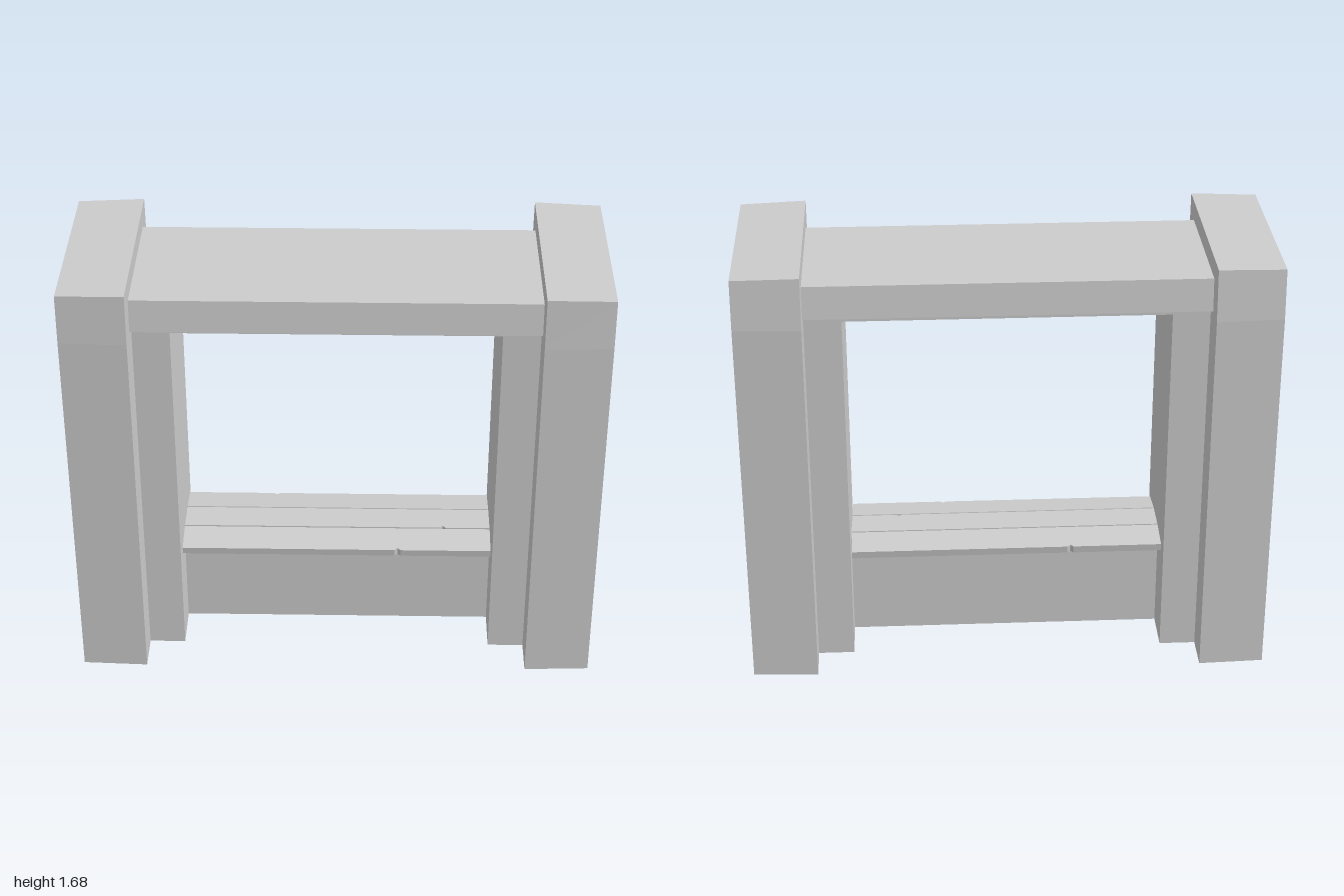
import * as THREE from 'three';

const material = new THREE.MeshStandardMaterial({ color: 0xcccccc, flatShading: true });

function addMesh(parent, name, geometry) {
  const mesh = new THREE.Mesh(geometry, material);
  mesh.name = name;
  parent.add(mesh);
  return mesh;
}

function addBox(parent, name, [x0, x1], [y0, y1], [z0, z1]) {
  const mesh = addMesh(parent, name, new THREE.BoxGeometry(x1 - x0, y1 - y0, z1 - z0));
  mesh.position.set((x0 + x1) / 2, (y0 + y1) / 2, (z0 + z1) / 2);
  return mesh;
}

// Heavy outer pillar: slightly narrower on its outer edge and drawn in at the top
function pillarGeometry(side) {
  const bend = 1.48, top = 1.67;
  const geometry = new THREE.BoxGeometry(0.25, 2, 0.77, 1, 2, 1);
  const p = geometry.attributes.position;
  for (let i = 0; i < p.count; i++) {
    const outer = p.getX(i) * side > 0;
    const level = Math.round(p.getY(i)) + 1;
    const front = p.getZ(i) > 0;
    const depth = outer ? 0.38 : 0.39;
    const pull = level === 2 ? (front ? 0.007 : 0.015) : 0;
    const y = [0, bend, outer ? top : top + 0.007][level];
    p.setXYZ(i, side * (outer ? 1 : 0.75), y, (front ? 1 : -1) * (depth - pull));
  }
  geometry.computeVertexNormals();
  return geometry;
}

// Bench plank outline with small triangular chips along its two long edges
function plankGeometry(width, frontChips, backChips) {
  const half = 0.607, w = width / 2, chip = 0.012;
  const shape = new THREE.Shape();
  shape.moveTo(-half, -w);
  for (const x of frontChips) {
    shape.lineTo(x - chip, -w);
    shape.lineTo(x, -w + chip);
    shape.lineTo(x + chip, -w);
  }
  shape.lineTo(half, -w);
  shape.lineTo(half, w);
  for (const x of backChips) {
    shape.lineTo(x + chip, w);
    shape.lineTo(x, w - chip);
    shape.lineTo(x - chip, w);
  }
  shape.lineTo(-half, w);
  shape.closePath();
  const geometry = new THREE.ExtrudeGeometry(shape, { depth: 0.03, bevelEnabled: false });
  return geometry.translate(0, 0, -0.03).rotateX(-Math.PI / 2);
}

export function createModel() {
  const model = new THREE.Group();
  model.name = 'benchArch';

  for (const side of [-1, 1]) {
    const label = side > 0 ? 'left' : 'right';
    addMesh(model, label + 'Pillar', pillarGeometry(side));
    const xs = side > 0 ? [0.61, 0.76] : [-0.76, -0.61];
    addBox(model, label + 'InnerPost', xs, [0, 1.48], [-0.24, 0.24]);
  }

  // Top of the inner frame and the overhanging lintel
  addBox(model, 'frameHead', [-0.61, 0.61], [1.445, 1.48], [-0.24, 0.24]);
  const lintel = addBox(model, 'lintel', [-0.76, 0.76], [1.48, 1.605], [-0.295, 0.295]);
  const p = lintel.geometry.attributes.position;
  for (let i = 0; i < p.count; i++) {
    if (p.getY(i) > 0) p.setZ(i, Math.sign(p.getZ(i)) * 0.283);
  }
  lintel.geometry.computeVertexNormals();

  // Low wall carrying the seat
  addBox(model, 'seatWall', [-0.61, 0.61], [0, 0.42], [-0.06, 0.06]);

  // Three planks, the outer two sloping away from the middle one
  const seat = new THREE.Group();
  seat.name = 'seat';
  model.add(seat);
  const planks = [
    { name: 'frontPlank', z: 0.13, y: 0.441, tilt: 0.14, front: [0.24], back: [] },
    { name: 'middlePlank', z: 0, y: 0.45, tilt: 0, front: [0.42], back: [-0.07, 0.2] },
    { name: 'backPlank', z: -0.13, y: 0.441, tilt: -0.14, front: [], back: [-0.25] },
  ];
  for (const { name, z, y, tilt, front, back } of planks) {
    const plank = addMesh(seat, name, plankGeometry(0.124, front, back));
    plank.position.set(0, y, z);
    plank.rotation.x = tilt;
  }

  return model;
}
